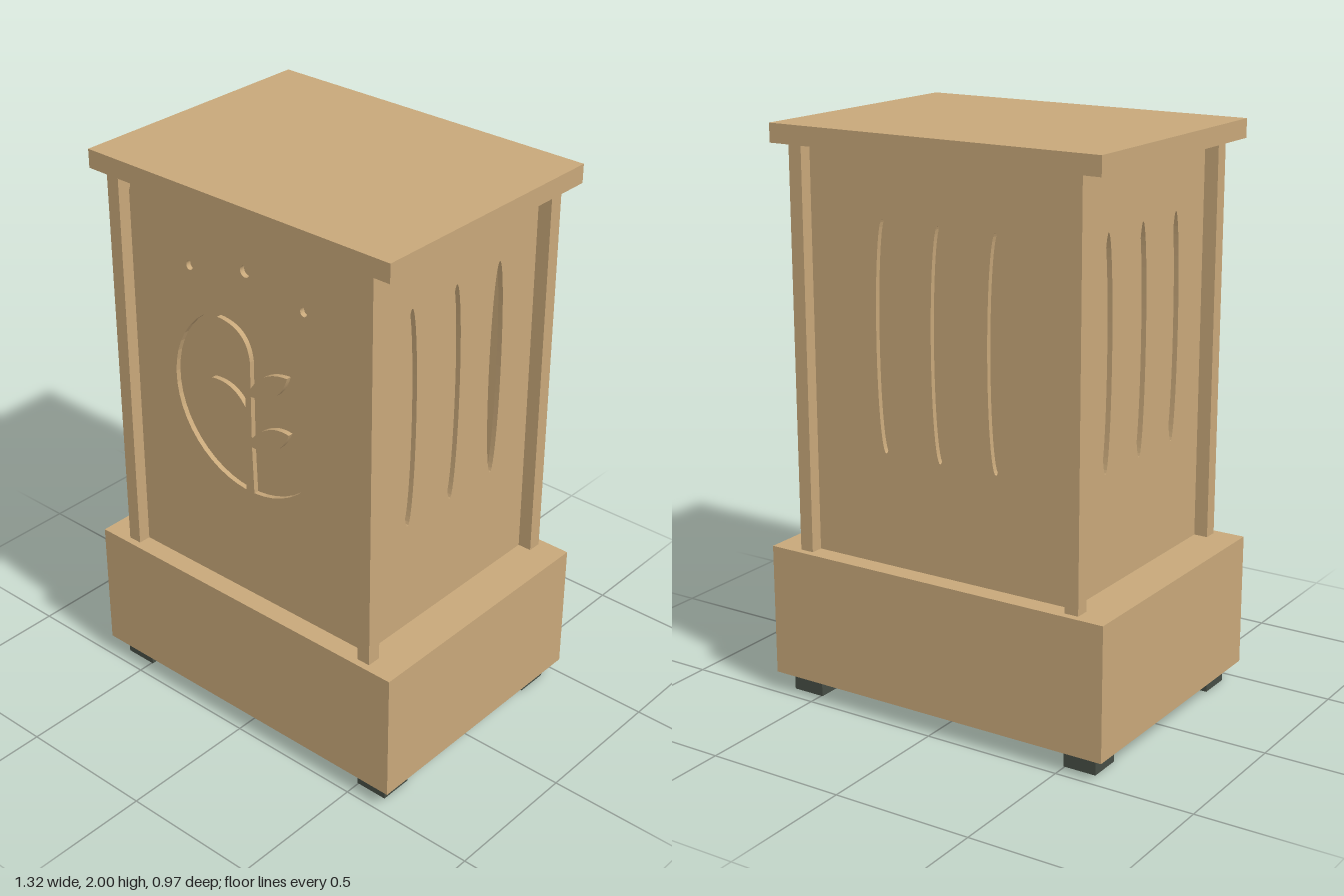
import * as THREE from 'three';

const wood = new THREE.MeshStandardMaterial({ color: 0xc8a87a });
wood.name = 'light wood';
const rubber = new THREE.MeshStandardMaterial({ color: 0x464d44 });
rubber.name = 'dark rubber';

const BODY_BOTTOM = 0.54, BODY_TOP = 1.935, THICK = 0.018;

// Box placed by its lower and upper y
function box(name, w, y0, y1, d, x = 0, z = 0, material = wood) {
  const mesh = new THREE.Mesh(new THREE.BoxGeometry(w, y1 - y0, d), material);
  mesh.name = name;
  mesh.position.set(x, (y0 + y1) / 2, z);
  return mesh;
}

// Upright board with cut-outs, its outer face at the given distance from the centre
function panel(name, halfWidth, radius, holes, angle, distance) {
  const s = new THREE.Shape();
  s.moveTo(-halfWidth, BODY_BOTTOM);
  s.lineTo(halfWidth, BODY_BOTTOM);
  s.lineTo(halfWidth, BODY_TOP - radius);
  if (radius) s.quadraticCurveTo(halfWidth - radius * 0.25, BODY_TOP - radius * 0.2, halfWidth - radius, BODY_TOP);
  s.lineTo(-halfWidth + radius, BODY_TOP);
  if (radius) s.quadraticCurveTo(-halfWidth + radius * 0.25, BODY_TOP - radius * 0.2, -halfWidth, BODY_TOP - radius);
  s.closePath();
  s.holes.push(...holes);
  const geo = new THREE.ExtrudeGeometry(s, { depth: THICK, bevelEnabled: false, curveSegments: 24 });
  const mesh = new THREE.Mesh(geo, wood);
  mesh.name = name;
  mesh.rotation.y = angle;
  mesh.translateZ(distance - THICK);
  return mesh;
}

function ellipse(x, y, rx, ry) {
  const p = new THREE.Path();
  p.absellipse(x, y, rx, ry, 0, Math.PI * 2, true);
  return p;
}

const slots = () => [-0.217, 0, 0.217].map((x) => ellipse(x, 1.325, 0.032, 0.393));

// Round window that leaves a leafy sprig standing on its lower rim
function sprigWindow() {
  const p = new THREE.Path();
  const gap = 0.055, down = -Math.PI / 2;
  p.absarc(0, 1.272, 0.325, down + gap, down - gap + Math.PI * 2, false);
  // left side, going up
  p.lineTo(-0.012, 1.21);
  p.quadraticCurveTo(-0.1, 1.25, -0.16, 1.318);
  p.quadraticCurveTo(-0.06, 1.335, -0.012, 1.26);
  p.lineTo(-0.012, 1.44);
  p.quadraticCurveTo(-0.09, 1.46, -0.127, 1.55);
  p.quadraticCurveTo(0, 1.55, 0.012, 1.435);
  // right side, going down
  p.lineTo(0.012, 1.34);
  p.quadraticCurveTo(0.07, 1.43, 0.17, 1.434);
  p.quadraticCurveTo(0.14, 1.325, 0.012, 1.31);
  p.lineTo(0.012, 1.155);
  p.quadraticCurveTo(0.09, 1.245, 0.175, 1.23);
  p.quadraticCurveTo(0.13, 1.12, 0.012, 1.122);
  p.closePath();
  return p;
}

export function createModel() {
  const model = new THREE.Group();
  model.name = 'cabinet';

  // Plinth and lid
  model.add(box('base', 1.32, 0.07, BODY_BOTTOM, 0.97));
  model.add(box('lid', 1.25, BODY_TOP, 2, 0.94));

  // Pierced panels
  const frontHoles = [
    sprigWindow(),
    ellipse(0, 1.75, 0.02, 0.02),
    ellipse(-0.243, 1.693, 0.014, 0.016),
    ellipse(0.243, 1.693, 0.014, 0.016),
  ];
  model.add(panel('frontPanel', 0.505, 0.06, frontHoles, 0, 0.415));
  model.add(panel('backPanel', 0.505, 0, slots(), Math.PI, 0.415));
  model.add(panel('leftPanel', 0.41, 0, slots(), Math.PI / 2, 0.505));
  model.add(panel('rightPanel', 0.41, 0, slots(), -Math.PI / 2, 0.505));

  // Inner casing behind the cut-outs
  model.add(box('innerCasing', 0.79, BODY_BOTTOM, BODY_TOP, 0.74, -0.065, 0));

  // Corner posts and feet
  for (const sx of [-1, 1]) {
    for (const sz of [-1, 1]) {
      model.add(box('cornerPost', 0.05, BODY_BOTTOM, BODY_TOP, 0.05, sx * 0.53, sz * 0.435));
      model.add(box('foot', 0.12, 0, 0.07, 0.12, sx * 0.555, sz * 0.383, rubber));
    }
  }
  return model;
}
